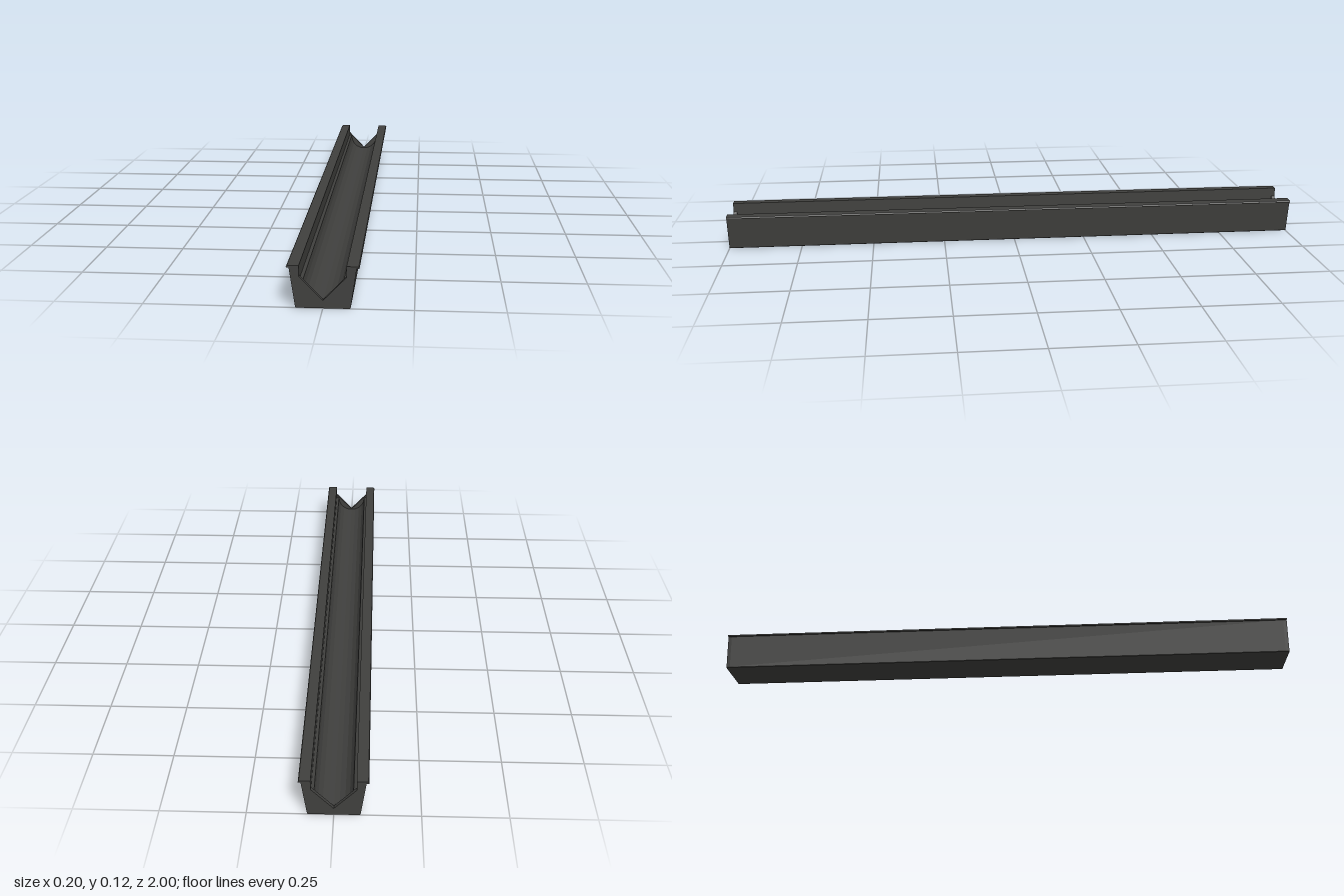
import * as THREE from 'three';

const LENGTH = 2, END = 0.012;

// Right half of the outer section, from the base up to the rim's inner edge
const OUTER = [
  [0.073, 0], [0.075, 0.001], [0.0765, 0.004], [0.0925, 0.115], [0.1, 0.115],
  [0.1, 0.117], [0.098, 0.12], [0.095, 0.121], [0.065, 0.121],
];
// Right half of the trough, from the rim down to the middle
const TROUGH = [
  [0.065, 0.079], [0.056, 0.075], [0.052, 0.056], [0.045, 0.042],
  [0.032, 0.029], [0.016, 0.022], [0, 0.02],
];
// Right half of the V-shaped opening in the end walls
const NOTCH = [[0.065, 0.09], [0, 0.022]];

// Mirrors a half section about x = 0 and extrudes it along z
function section(name, inner, z0, depth, material) {
  const half = [...OUTER, ...inner];
  const mirrored = half.slice(0, -1).reverse().map(([x, y]) => [-x, y]);
  const shape = new THREE.Shape([...half, ...mirrored].map(([x, y]) => new THREE.Vector2(x, y)));
  const geometry = new THREE.ExtrudeGeometry(shape, { depth, bevelEnabled: false });
  geometry.translate(0, 0, z0);
  const mesh = new THREE.Mesh(geometry, material);
  mesh.name = name;
  return mesh;
}

export function createModel() {
  const group = new THREE.Group();
  group.name = 'drainageChannel';
  const material = new THREE.MeshStandardMaterial({ color: 0x40403e });

  // Long channel body with a hollowed trough
  group.add(section('channelBody', TROUGH, -LENGTH / 2 + END, LENGTH - 2 * END, material));

  // Thin notched walls closing the two ends
  group.add(section('frontEndWall', NOTCH, LENGTH / 2 - END, END, material));
  group.add(section('backEndWall', NOTCH, -LENGTH / 2, END, material));
  return group;
}
